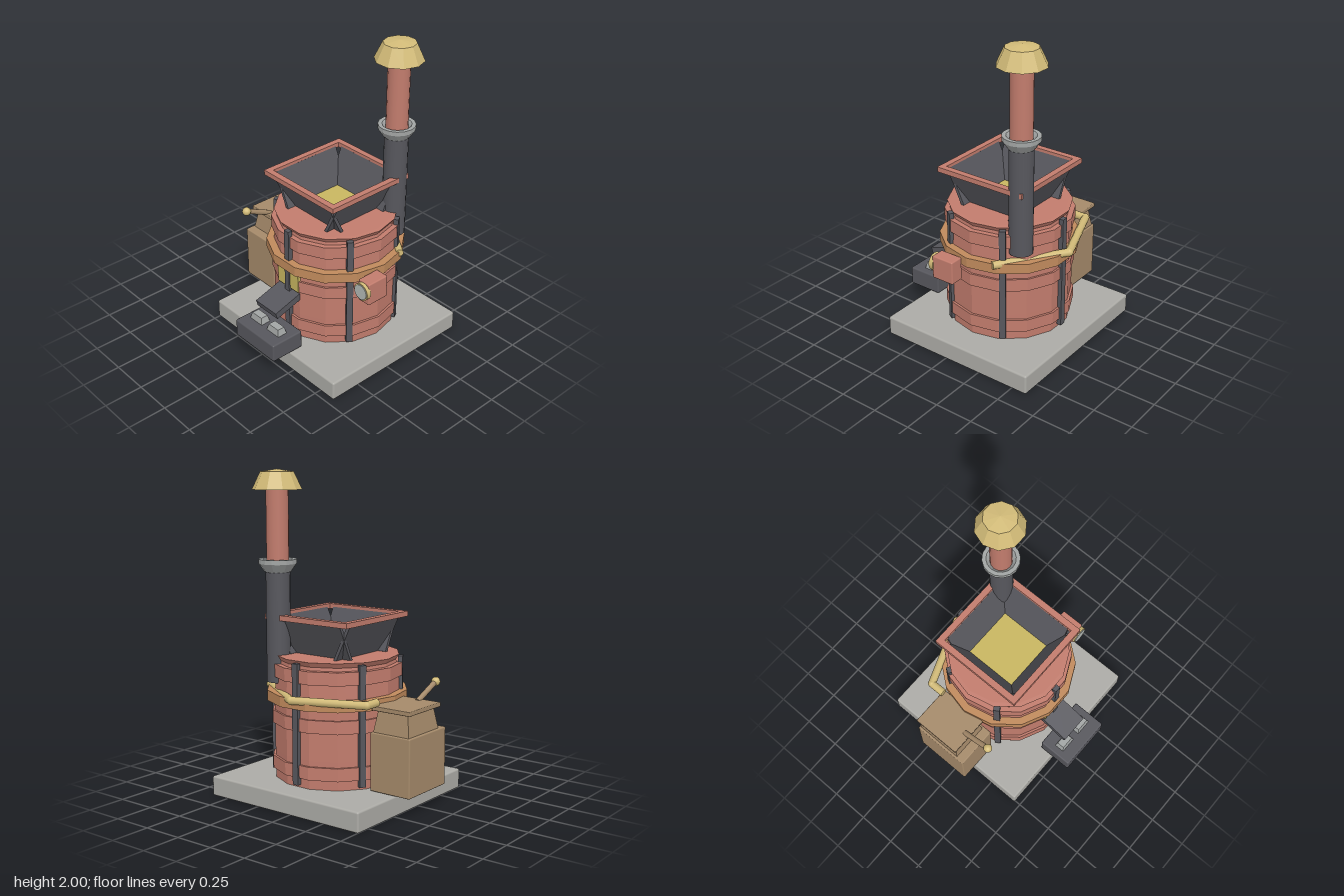
import * as THREE from 'three';
import { RoundedBoxGeometry } from 'three/addons/geometries/RoundedBoxGeometry.js';

const mat = (name, color, side = THREE.FrontSide) =>
  new THREE.MeshStandardMaterial({ name, color, side });

export function createModel() {
  const copper = mat('copper', 0xc27c6d);
  const iron = mat('darkIron', 0x57575d);
  const stone = mat('stone', 0xacaba6);
  const steel = mat('steel', 0xa2a5a4);
  const brass = mat('brass', 0xd2bb78, THREE.DoubleSide);
  const wood = mat('brownCasing', 0xa58a6a);
  const tan = mat('tanBand', 0xc08a5c);
  const glow = mat('yellowGlow', 0xc8b660);
  const glass = mat('paleGlass', 0xb4bab6);

  const model = new THREE.Group();
  const CX = 0.055, CZ = -0.0725;

  function add(name, geo, material, x = 0, y = 0, z = 0, parent = model) {
    const m = new THREE.Mesh(geo, material);
    m.name = name;
    m.position.set(x, y, z);
    parent.add(m);
    return m;
  }
  const faceted = (g) => {
    const f = g.index ? g.toNonIndexed() : g;
    f.computeVertexNormals();
    return f;
  };
  // Box given by its extents
  function span(name, material, [x0, x1], [y0, y1], [z0, z1], r = 0.005) {
    const geo = new RoundedBoxGeometry(x1 - x0, y1 - y0, z1 - z0, 2, r);
    return add(name, geo, material, (x0 + x1) / 2, (y0 + y1) / 2, (z0 + z1) / 2);
  }
  // Block whose upper face is scaled and shifted
  function taperedBlock(w, h, d, sx, sz, shift = 0) {
    const g = new THREE.BoxGeometry(w, h, d);
    const p = g.attributes.position;
    for (let i = 0; i < p.count; i++) {
      if (p.getY(i) > 0) {
        p.setX(i, p.getX(i) * sx + shift);
        p.setZ(i, p.getZ(i) * sz);
      }
    }
    return faceted(g);
  }
  // Round rod between two points
  function rod(name, material, a, b, r, sides = 10) {
    const dir = b.clone().sub(a);
    const mid = a.clone().add(b).multiplyScalar(0.5);
    const m = add(name, new THREE.CylinderGeometry(r, r, dir.length(), sides), material, mid.x, mid.y, mid.z);
    m.quaternion.setFromUnitVectors(new THREE.Vector3(0, 1, 0), dir.normalize());
    return m;
  }
  const V = (x, y, z) => new THREE.Vector3(x, y, z);
  const lathe = (pts, n, phi = 0) =>
    faceted(new THREE.LatheGeometry(pts.map(([r, y]) => new THREE.Vector2(r, y)), n, phi));

  // Base slab
  span('baseSlab', stone, [-0.51, 0.62], [0, 0.125], [-0.605, 0.46], 0.012);

  // Barrel body with hoops, all fourteen-sided
  const N = 14, PHI = Math.PI / N;
  add('barrel', lathe([[0, 0.125], [0.385, 0.125], [0.388, 0.3], [0.39, 0.6], [0.383, 0.76],
    [0.366, 0.86], [0.385, 0.89], [0.36, 0.892], [0, 0.892]], N, PHI), copper, CX, 0, CZ);
  for (const y of [0.225, 0.51, 0.8]) {
    add('barrelHoop', lathe([[0.37, y - 0.04], [0.402, y - 0.04], [0.402, y + 0.04], [0.36, y + 0.04]], N, PHI),
      copper, CX, 0, CZ);
  }
  add('wideBand', lathe([[0.38, 0.61], [0.435, 0.61], [0.435, 0.673], [0.38, 0.673]], N, PHI), tan, CX, 0, CZ);

  // Upright straps
  for (let i = 0; i < 6; i++) {
    const a = i * Math.PI / 3;
    const s = add('strap', new THREE.BoxGeometry(0.04, 0.735, 0.03), iron,
      CX + 0.39 * Math.sin(a), 0.51, CZ + 0.39 * Math.cos(a));
    s.rotation.y = a;
  }

  // Hopper: four tilted panels, a square rim and a floor
  const hopper = new THREE.Group();
  hopper.name = 'hopper';
  hopper.position.set(CX, 0, CZ);
  model.add(hopper);
  const tilt = Math.atan2(0.105, 0.22);
  for (let i = 0; i < 4; i++) {
    const side = new THREE.Group();
    side.name = 'hopperSide';
    side.rotation.y = i * Math.PI / 2;
    hopper.add(side);
    const panel = add('hopperPanel', new THREE.BoxGeometry(0.49, 0.245, 0.02), iron, 0, 1.0, 0.227, side);
    panel.rotation.x = tilt;
    add('hopperRim', new THREE.BoxGeometry(0.62, 0.032, 0.04), copper, 0, 1.118, 0.291, side);
  }
  add('hopperFloor', new THREE.BoxGeometry(0.34, 0.008, 0.34), glow, 0, 0.899, 0, hopper);

  // Chimney
  const PX = 0.3, PZ = -0.333;
  add('lowerFlue', new THREE.CylinderGeometry(0.074, 0.074, 0.7, 16), iron, PX, 1.07, PZ);
  add('flueCollar', lathe([[0.07, 1.39], [0.08, 1.39], [0.115, 1.44], [0.115, 1.467], [0.09, 1.467], [0.066, 1.44]], 16),
    steel, PX, 0, PZ);
  add('upperFlue', new THREE.CylinderGeometry(0.068, 0.068, 0.53, 16), copper, PX, 1.685, PZ);
  add('chimneyCap', lathe([[0.15, 1.88], [0.1, 1.985], [0, 2.0]], 10, Math.PI / 2), brass, PX, 0, PZ);

  // Brass pipe round the back
  const path = [V(-0.375, 0.665, -0.25), V(-0.375, 0.665, -0.348), V(0.055, 0.665, -0.512), V(0.455, 0.665, -0.24)];
  path.forEach((p, i) => {
    if (i === 0) return;
    rod('backPipe', brass, path[i - 1], p, 0.025);
    if (i < 3) add('pipeElbow', new THREE.SphereGeometry(0.026, 10, 8), brass, p.x, p.y, p.z);
  });

  // Control cabinet with lever
  span('cabinet', wood, [-0.62, -0.34], [0.13, 0.487], [-0.265, 0.115], 0.008);
  add('cabinetNeck', taperedBlock(0.25, 0.135, 0.31, 0.83, 0.85), wood, -0.48, 0.553, -0.1);
  span('cabinetLid', wood, [-0.617, -0.35], [0.618, 0.645], [-0.265, 0.06]);
  rod('lever', wood, V(-0.48, 0.637, 0.02), V(-0.48, 0.725, 0.213), 0.017);
  add('leverKnob', new THREE.SphereGeometry(0.028, 14, 10), brass, -0.48, 0.725, 0.215);

  // Gauge on the left side
  span('gaugeBox', copper, [0.475, 0.566], [0.505, 0.655], [-0.025, 0.128], 0.008);
  const ring = add('gaugeRing', new THREE.CylinderGeometry(0.057, 0.057, 0.03, 20), brass, 0.518, 0.592, 0.135);
  ring.rotation.x = Math.PI / 2;
  const face = add('gaugeFace', new THREE.CylinderGeometry(0.05, 0.05, 0.006, 20), glass, 0.518, 0.592, 0.152);
  face.rotation.x = Math.PI / 2;

  // Furnace window and pouring spout
  span('furnaceWindow', glow, [-0.042, 0.148], [0.468, 0.613], [0.28, 0.324]);
  const spout = add('spout', new THREE.BoxGeometry(0.19, 0.045, 0.25), iron, 0.05, 0.411, 0.375);
  spout.rotation.x = 0.29;

  // Casting tray with ingots
  span('castingTray', iron, [-0.128, 0.237], [0.135, 0.255], [0.373, 0.602], 0.01);
  for (const x of [-0.027, 0.133]) {
    add('ingot', taperedBlock(0.115, 0.05, 0.07, 0.75, 0.7), steel, x, 0.272, 0.488);
  }
  return model;
}
